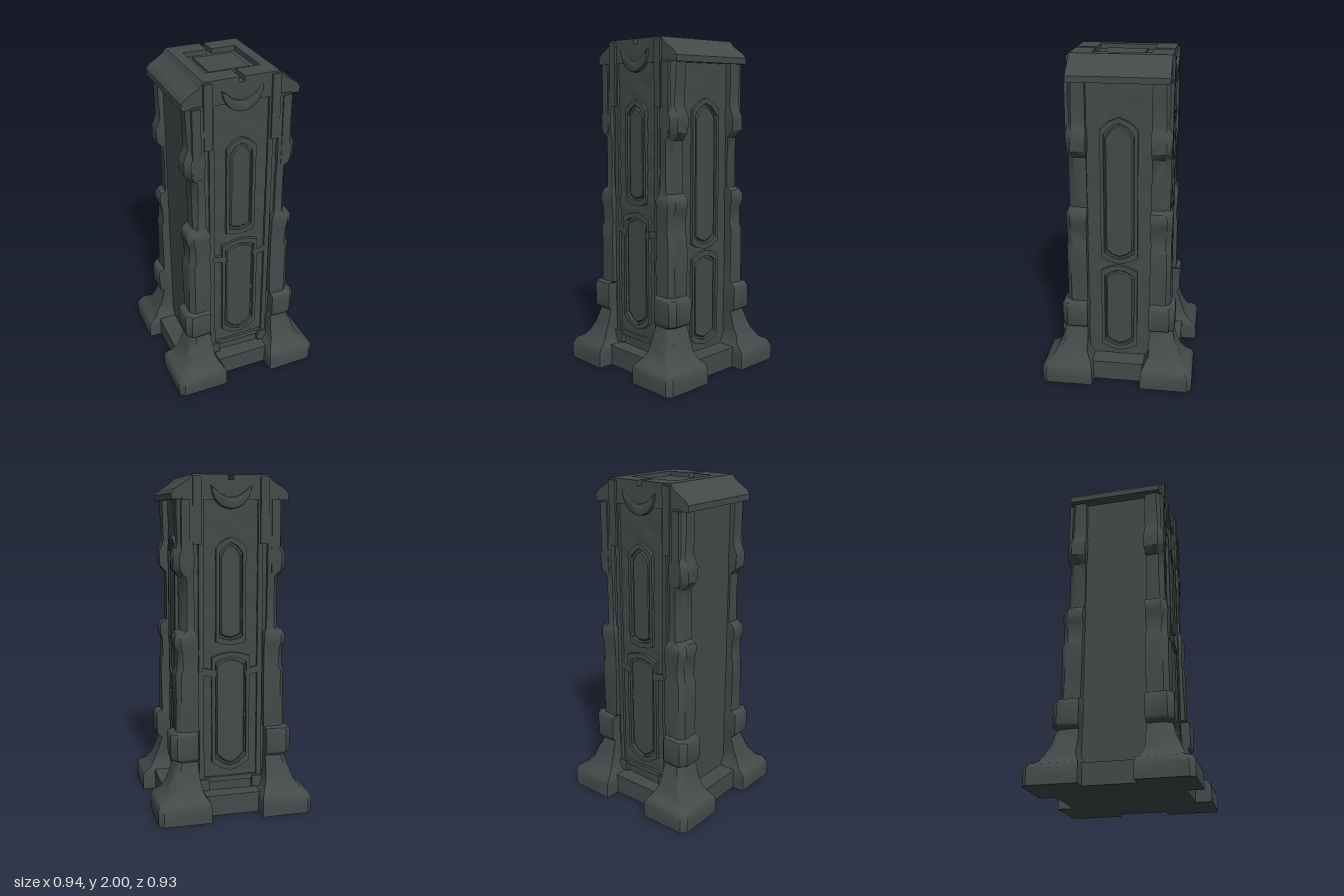
import * as THREE from 'three';
import { toCreasedNormals } from 'three/addons/utils/BufferGeometryUtils.js';

const stone = new THREE.MeshStandardMaterial({ color: 0x434a4a });
stone.name = 'dark slate stone';

function add(parent, name, geometry, x = 0, y = 0, z = 0, crease = 0.6) {
  const mesh = new THREE.Mesh(toCreasedNormals(geometry, crease), stone);
  mesh.name = name;
  mesh.position.set(x, y, z);
  parent.add(mesh);
  return mesh;
}

const box = (parent, name, w, h, d, x, y, z) =>
  add(parent, name, new THREE.BoxGeometry(w, h, d), x, y, z);

// Gentle weathering, a sum of waves
const wear = (u, v) =>
  0.5 * Math.sin(u * 31 + Math.sin(v * 9) * 2) * Math.sin(v * 17 + u * 11) + 0.5 * Math.sin(v * 41 + u * 23);

const polygon = (points) => new THREE.Shape(points.map(([x, y]) => new THREE.Vector2(x, y)));

// Worn slab whose front face (+z) is uneven
function wornSlab(parent, name, w, y0, y1, z0, z1, amount) {
  const g = new THREE.BoxGeometry(w, y1 - y0, z1 - z0, 12, 48, 1);
  const p = g.attributes.position;
  for (let i = 0; i < p.count; i++) {
    if (p.getZ(i) > 0) p.setZ(i, p.getZ(i) + amount * wear(p.getX(i), p.getY(i) + y0));
  }
  add(parent, name, g, 0, (y0 + y1) / 2, (z0 + z1) / 2, 1);
}

// Tall panel outline, pointed by `top` and `bottom` at its ends
const panelPoints = (w, y0, y1, top, bottom) => [
  [0, y0], [w * 0.55, y0 + bottom * 0.35], [w, y0 + bottom], [w, y1 - top],
  [w * 0.55, y1 - top * 0.35], [0, y1], [-w * 0.55, y1 - top * 0.35],
  [-w, y1 - top], [-w, y0 + bottom], [-w * 0.55, y0 + bottom * 0.35],
];

// Raised frame around a pointed panel with a slim core inside
function panel(parent, name, w, y0, y1, top, bottom, z, depth) {
  const frame = polygon(panelPoints(w, y0, y1, top, bottom));
  frame.holes.push(polygon(panelPoints(w - 0.02, y0 + 0.03, y1 - 0.03, top, bottom)));
  add(parent, name + 'Frame', new THREE.ExtrudeGeometry(frame, { depth, bevelEnabled: false }), 0, 0, z);
  const core = polygon(panelPoints(w - 0.035, y0 + 0.05, y1 - 0.05, top, bottom));
  add(parent, name + 'Core', new THREE.ExtrudeGeometry(core, {
    depth: depth * 0.3, bevelThickness: depth * 0.4, bevelSize: 0.008, bevelSegments: 1,
  }), 0, 0, z);
}

// Corner pillar rings: y, outer x, outer z, inner x, inner z
const rings = [
  [0, .468, .465, .157, .15], [.09, .47, .465, .155, .15], [.118, .455, .452, .16, .155],
  [.14, .415, .412, .18, .17], [.19, .385, .38, .2, .19], [.25, .36, .355, .205, .19],
  [.335, .335, .33, .21, .19], [.35, .362, .342, .21, .188], [.365, .368, .345, .21, .186],
  [.49, .368, .345, .21, .186], [.505, .36, .34, .21, .188], [.515, .332, .318, .2, .19],
  [.7, .33, .316, .2, .19], [.86, .33, .315, .2, .19], [.89, .32, .31, .2, .19],
  [.99, .32, .315, .2, .19], [1.03, .334, .318, .2, .188], [1.075, .334, .316, .2, .188],
  [1.1, .322, .306, .21, .19], [1.115, .294, .3, .22, .19], [1.28, .292, .298, .22, .19],
  [1.42, .294, .299, .22, .19], [1.465, .335, .304, .22, .185], [1.55, .335, .306, .22, .185],
  [1.585, .32, .302, .22, .188], [1.62, .308, .3, .22, .19], [1.75, .314, .298, .22, .19],
  [1.87, .314, .296, .22, .19],
];

function cornerPillar(parent, name, sx, sz) {
  const position = [], index = [], c = 0.03, n = 5;
  for (const [y, xo, zo, xi, zi] of rings) {
    const e = y > 0.15 ? 0.004 : 0.002;
    const outline = [[xi, zi], [xo, zi], [xo, zo - c], [xo - c, zo], [xi, zo]];
    outline.forEach(([x, z], k) => position.push(
      sx * (x + e * wear(y * 2, k + sz)), y, sz * (z + e * wear(y * 2 + 1, k + sx))));
  }
  const tri = (a, b, d) => (sx * sz > 0 ? index.push(a, d, b) : index.push(a, b, d));
  for (let r = 0; r < rings.length - 1; r++) {
    for (let k = 0; k < n; k++) {
      const a = r * n + k, b = r * n + (k + 1) % n;
      tri(a, b, b + n);
      tri(a, b + n, a + n);
    }
  }
  const last = (rings.length - 1) * n;
  for (let k = 1; k < n - 1; k++) {
    tri(0, k + 1, k);
    tri(last, last + k, last + k + 1);
  }
  const g = new THREE.BufferGeometry();
  g.setAttribute('position', new THREE.Float32BufferAttribute(position, 3));
  g.setIndex(index);
  add(parent, name, g, 0, 0, 0, 0.7);
}

// Decorated face, used on the front and the back
function decoratedFace(name) {
  const face = new THREE.Group();
  face.name = name;
  wornSlab(face, 'centreSlab', 0.44, 0.1, 1.9, 0.2, 0.278, 0.007);
  panel(face, 'upperPanel', 0.09, 1.02, 1.65, 0.06, 0.02, 0.275, 0.022);
  panel(face, 'lowerPanel', 0.115, 0.25, 0.98, 0.03, 0.06, 0.272, 0.024);
  for (const s of [-1, 1]) {
    box(face, 'longRib', 0.03, 1.72, 0.06, s * 0.178, 1.0, 0.263);
    box(face, 'upperRib', 0.05, 0.38, 0.05, s * 0.2, 1.8, 0.28);
    box(face, 'ribFoot', 0.06, 0.07, 0.06, s * 0.165, 0.17, 0.275);
    box(face, 'beltStone', 0.09, 0.04, 0.04, s * 0.13, 0.86, 0.275).rotation.z = s * 0.25;
    // Strap hanging over each shoulder
    box(face, 'shoulderStrap', 0.05, 0.42, 0.04, s * 0.268, 1.65, 0.287);
  }
  box(face, 'footSill', 0.32, 0.03, 0.05, 0, 0.2, 0.27);
  // Crescent below the top notch
  const crescent = new THREE.Shape();
  crescent.moveTo(-0.115, 1.93);
  crescent.quadraticCurveTo(-0.09, 1.82, 0, 1.815);
  crescent.quadraticCurveTo(0.09, 1.82, 0.115, 1.93);
  crescent.quadraticCurveTo(0.06, 1.865, 0, 1.865);
  crescent.quadraticCurveTo(-0.06, 1.865, -0.115, 1.93);
  add(face, 'crescent', new THREE.ExtrudeGeometry(crescent, {
    depth: 0.02, bevelThickness: 0.012, bevelSize: 0.008, bevelSegments: 2, curveSegments: 8,
  }), 0, 0, 0.275);
  return face;
}

export function createModel() {
  const tower = new THREE.Group();
  tower.name = 'tower';

  // Core and plinth
  box(tower, 'core', 0.55, 1.8, 0.5, 0, 0.97, 0);
  box(tower, 'plinth', 0.78, 0.125, 0.74, 0, 0.0625, 0);

  for (const sx of [-1, 1]) for (const sz of [-1, 1]) {
    cornerPillar(tower, (sz > 0 ? 'front' : 'back') + (sx > 0 ? 'Left' : 'Right') + 'Pillar', sx, sz);
  }

  // Front and back faces
  tower.add(decoratedFace('frontFace'));
  const back = decoratedFace('backFace');
  back.rotation.y = Math.PI;
  tower.add(back);

  // Panelled side
  const side = new THREE.Group();
  side.name = 'panelledSide';
  side.rotation.y = Math.PI / 2;
  wornSlab(side, 'sideSlab', 0.4, 0.1, 1.88, 0.2, 0.277, 0.004);
  panel(side, 'tallPanel', 0.11, 0.76, 1.66, 0.07, 0.04, 0.274, 0.022);
  panel(side, 'shortPanel', 0.11, 0.16, 0.75, 0.04, 0.04, 0.274, 0.022);
  tower.add(side);

  // Plain side
  box(tower, 'plainSide', 0.06, 1.78, 0.42, -0.25, 0.98, 0);

  // Cap with sloping shoulders
  const cap = polygon([[-.345, 1.86], [.345, 1.86], [.345, 1.895], [.325, 1.92], [.245, 1.97],
    [-.245, 1.97], [-.325, 1.92], [-.345, 1.895]]);
  add(tower, 'cap', new THREE.ExtrudeGeometry(cap, { depth: 0.58, bevelEnabled: false }), 0, 0, -0.29, 0.3);

  // Raised top rim in two halves, leaving a notch between them
  for (const s of [-1, 1]) {
    const half = polygon([[.015, -.29], [.245, -.29], [.245, .29], [.015, .29],
      [.015, .17], [.16, .17], [.16, -.17], [.015, -.17]].map(([x, z]) => [s * x, z]));
    const g = new THREE.ExtrudeGeometry(half, { depth: 0.03, bevelEnabled: false });
    const p = g.attributes.position;
    for (let i = 0; i < p.count; i++) {
      if (p.getZ(i) > 0.02 && Math.abs(p.getX(i)) > 0.2) p.setX(i, s * 0.222);
    }
    g.rotateX(-Math.PI / 2);
    add(tower, 'topRim', g, 0, 1.97, 0, 0.3);
  }
  box(tower, 'topInset', 0.24, 0.02, 0.24, 0, 1.972, 0);
  return tower;
}
